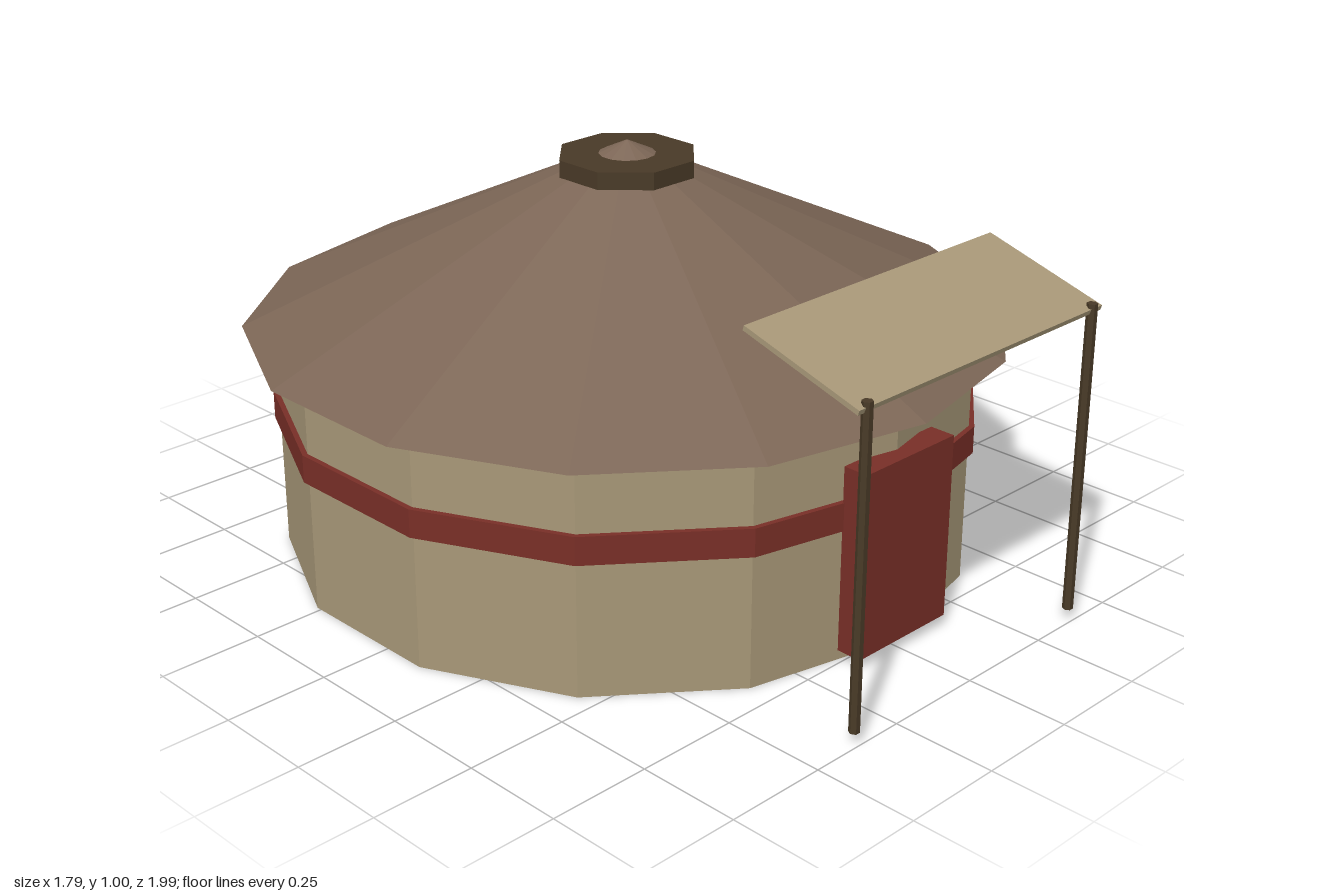
import * as THREE from 'three';

const mat = (name, color) => {
  const m = new THREE.MeshStandardMaterial({ color, flatShading: true });
  m.name = name;
  return m;
};

export function createModel() {
  const group = new THREE.Group();
  const canvas = mat('canvas', 0xa89878);
  const roofFelt = mat('roof felt', 0x7c6656);
  const red = mat('red paint', 0x792f27);
  const darkWood = mat('dark wood', 0x493a27);

  const SIDES = 14;
  const CENTRE_Z = -0.075;

  const add = (name, geometry, material, x, y, z) => {
    const mesh = new THREE.Mesh(geometry, material);
    mesh.name = name;
    mesh.position.set(x, y, z);
    group.add(mesh);
    return mesh;
  };
  // upright prism standing between two heights
  const prism = (name, radius, y0, y1, sides, material, x = 0, z = CENTRE_Z) =>
    add(name, new THREE.CylinderGeometry(radius, radius, y1 - y0, sides), material, x, (y0 + y1) / 2, z);

  // round tent body
  prism('wall', 0.844, 0, 0.567, SIDES, canvas);
  prism('wallBand', 0.857, 0.326, 0.394, SIDES, red);
  add('roof', new THREE.ConeGeometry(0.92, 0.433, SIDES), roofFelt, 0, 0.7825, CENTRE_Z);

  // crown ring around the roof peak, flat side to the front
  prism('crownRing', 0.169, 0.925, 0.967, 8, darkWood).rotation.y = Math.PI / 8;

  // door
  add('door', new THREE.BoxGeometry(0.294, 0.45, 0.064), red, 0, 0.255, 0.777);

  // sloping awning on two posts
  add('awning', new THREE.BoxGeometry(0.81, 0.012, 0.322), canvas, 0, 0.808, 0.837).rotation.x = 0.285;
  for (const side of [-1, 1]) {
    const name = side > 0 ? 'leftPost' : 'rightPost';
    prism(name, 0.0125, 0.03, 0.78, 6, darkWood, side * 0.375, 0.988).rotation.y = Math.PI / 6;
  }

  return group;
}
